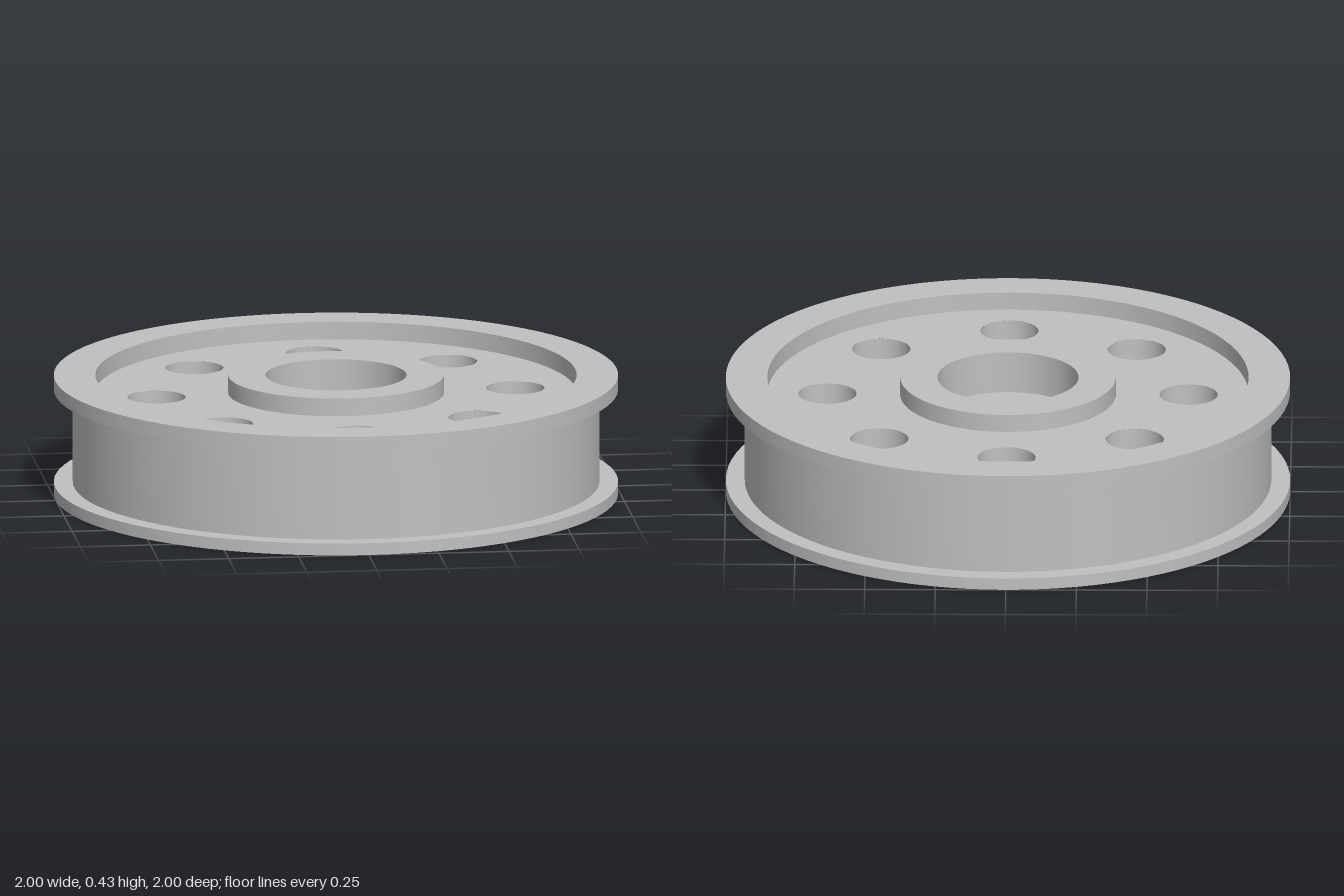
import * as THREE from 'three';
import { toCreasedNormals } from 'three/addons/utils/BufferGeometryUtils.js';

const SEGMENTS = 96;
const FLOOR = 0.366; // height of the recessed web
const TOP = 0.43;
const BORE_FLOOR = 0.28;
const HOLE_R = 0.103, HOLE_RING = 0.64, HOLES = 8;

export function createModel() {
  const group = new THREE.Group();
  group.name = 'flangedWheel';
  const metal = new THREE.MeshStandardMaterial({ color: 0xc0c0c0 });
  metal.name = 'grey metal';

  const add = (name, geometry) => {
    const mesh = new THREE.Mesh(geometry, metal);
    mesh.name = name;
    group.add(mesh);
    return mesh;
  };
  // Turned surface with crisp corners; profile is [radius, height]
  const turned = (profile, segments = SEGMENTS) => toCreasedNormals(
    new THREE.LatheGeometry(profile.map(([r, y]) => new THREE.Vector2(r, y)), segments), 0.6);

  // Underside counterbore, lower flange, drum, upper flange and rim wall
  add('drumAndFlanges', turned([
    [0.117, BORE_FLOOR], [0.117, 0.23], [0.18, 0.23], [0.18, 0],
    [1, 0], [1, 0.043], [0.933, 0.043], [0.933, 0.378],
    [1, 0.378], [1, TOP], [0.853, TOP], [0.853, FLOOR],
  ]));

  // Raised hub with its stepped bore
  add('hub', turned([
    [0.382, FLOOR], [0.382, TOP], [0.25, TOP], [0.25, BORE_FLOOR], [0.117, BORE_FLOOR],
  ]));

  // Recessed web pierced by a ring of round holes
  const web = new THREE.Shape().absarc(0, 0, 0.853, 0, Math.PI * 2, false);
  const cut = (x, y, r) => web.holes.push(new THREE.Path().absarc(x, y, r, 0, Math.PI * 2, true));
  cut(0, 0, 0.382);

  // Blind pockets beneath the holes
  const pocket = turned([[HOLE_R, FLOOR], [HOLE_R, BORE_FLOOR], [0, BORE_FLOOR]], 48);
  for (let i = 0; i < HOLES; i++) {
    const a = (i / HOLES) * Math.PI * 2;
    const x = HOLE_RING * Math.cos(a), z = HOLE_RING * Math.sin(a);
    cut(x, -z, HOLE_R);
    add('holePocket' + (i + 1), pocket).position.set(x, 0, z);
  }
  add('web', new THREE.ShapeGeometry(web, SEGMENTS).rotateX(-Math.PI / 2).translate(0, FLOOR, 0));

  return group;
}
